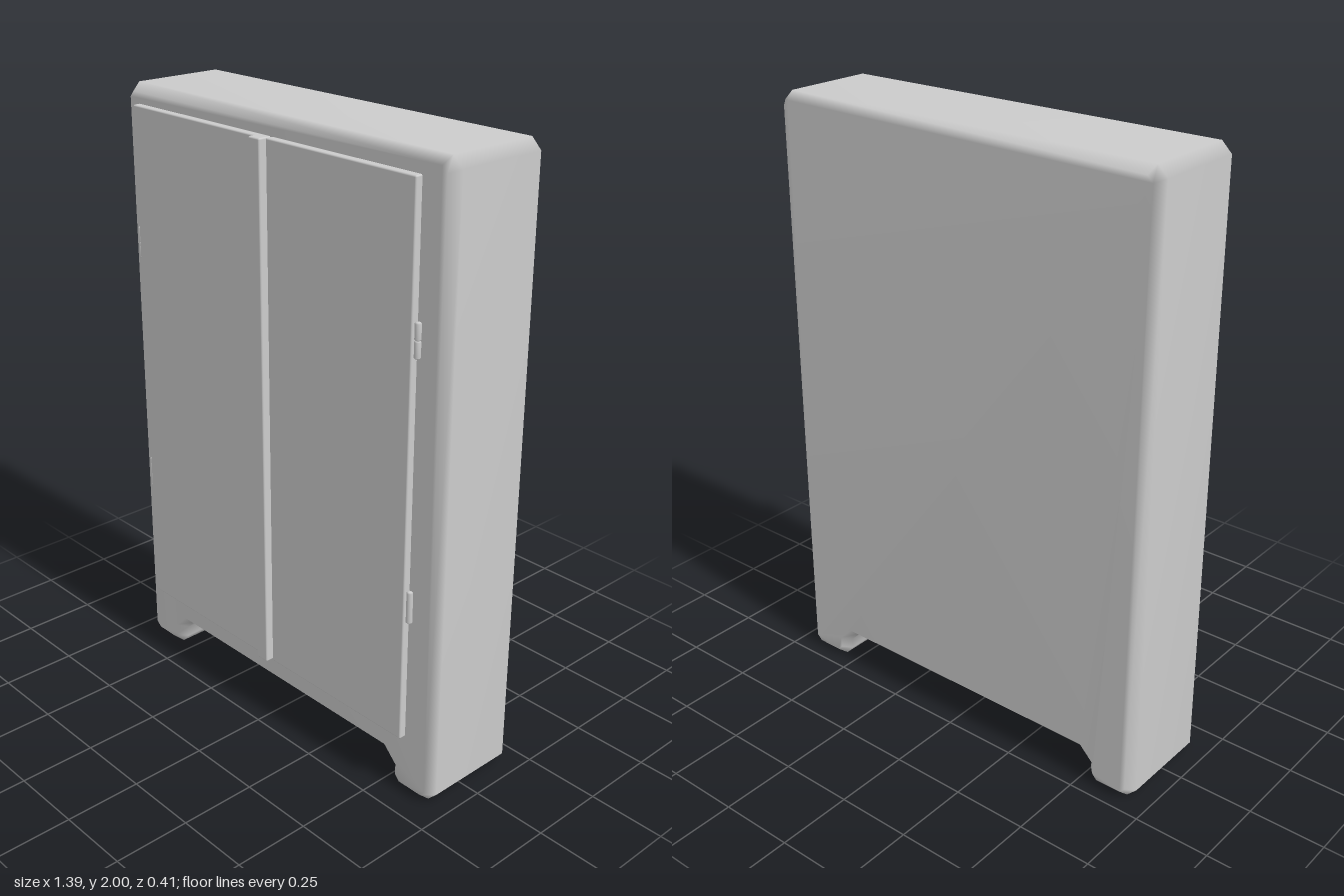
import * as THREE from 'three';
import { mergeVertices } from 'three/addons/utils/BufferGeometryUtils.js';
import { RoundedBoxGeometry } from 'three/addons/geometries/RoundedBoxGeometry.js';

const material = new THREE.MeshStandardMaterial({ color: 0xcccccc });

function add(parent, name, geometry, x = 0, y = 0, z = 0) {
  const mesh = new THREE.Mesh(geometry, material);
  mesh.name = name;
  mesh.position.set(x, y, z);
  parent.add(mesh);
  return mesh;
}

// Chamfered carcass with two feet, cut from one outline
function carcassGeometry(back, front) {
  const c = 0.033;
  const half = [
    [0.49, 0.105], [0.525, 0.07], [0.525, 0.033], [0.555, 0],
    [0.697 - c, 0], [0.697, c], [0.697, 2 - c], [0.697 - c, 2],
  ];
  const mirrored = half.map(([x, y]) => [-x, y]).reverse();
  const shape = new THREE.Shape([...half, ...mirrored].map(([x, y]) => new THREE.Vector2(x, y)));
  const bevel = 0.03;
  const extruded = new THREE.ExtrudeGeometry(shape, {
    depth: front - back - 2 * bevel, bevelThickness: bevel,
    bevelSize: 0.025, bevelOffset: -0.025, bevelSegments: 1,
  });
  extruded.translate(0, 0, back + bevel);
  // Weld so the large faces blend softly into the chamfers
  extruded.deleteAttribute('uv');
  extruded.deleteAttribute('normal');
  const welded = mergeVertices(extruded, 1e-4);
  welded.computeVertexNormals();
  return welded;
}

// Box given by its limits, with slightly rounded edges
function slab(parent, name, [x0, x1], [y0, y1], [z0, z1]) {
  const geometry = new RoundedBoxGeometry(x1 - x0, y1 - y0, z1 - z0, 2, 0.005);
  return add(parent, name, geometry, (x0 + x1) / 2, (y0 + y1) / 2, (z0 + z1) / 2);
}

// Hinge barrel of stacked knuckles with chamfered ends
function addHinge(parent, name, x, y0, y1, knuckles) {
  const r = 0.01, b = 0.004, h = (y1 - y0) / knuckles;
  const profile = [[0, 0], [r - b, 0], [r, b], [r, h - b], [r - b, h], [0, h]]
    .map(([px, py]) => new THREE.Vector2(px, py));
  const hinge = new THREE.Group();
  hinge.name = name;
  for (let i = 0; i < knuckles; i++) {
    add(hinge, 'hingeKnuckle', new THREE.LatheGeometry(profile, 12), x, y0 + i * h, 0.17);
  }
  parent.add(hinge);
}

export function createModel() {
  const model = new THREE.Group();
  model.name = 'wardrobe';

  add(model, 'carcass', carcassGeometry(-0.205, 0.161));

  // Doors, with the cover strip on the right-hand one
  const height = [0.205, 1.94], depth = [0.15, 0.184];
  slab(model, 'rightDoor', [-0.63, -0.004], height, depth);
  slab(model, 'leftDoor', [0, 0.587], height, depth);
  slab(model, 'coverStrip', [-0.052, -0.004], height, [0.15, 0.205]);

  // Two hinges on the outer edge of each door
  for (const [side, x] of [['right', -0.638], ['left', 0.597]]) {
    addHinge(model, side + 'UpperHinge', x, 1.44, 1.545, 2);
    addHinge(model, side + 'LowerHinge', x, 0.615, 0.72, 1);
  }
  return model;
}
